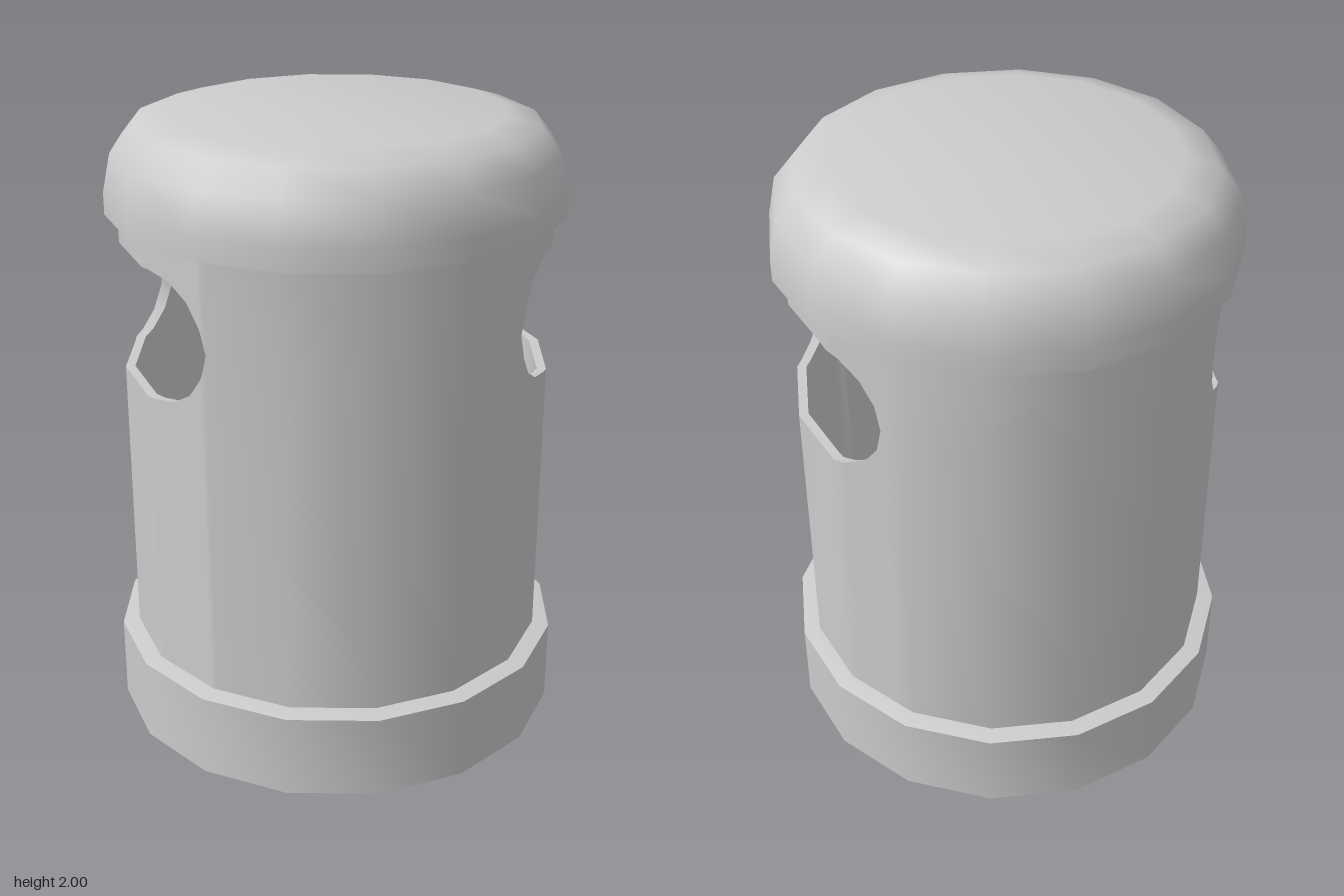
import * as THREE from 'three';
import { toCreasedNormals } from 'three/addons/utils/BufferGeometryUtils.js';

const SIDES = 16;
const OUTER = 0.68, INNER = 0.65;
const BOTTOM = 0.27, TOP = 1.71;
// Rounded slot cut straight through along x
const SLOT = { z: 0.033, y: 1.405, flat: 0.25, r: 0.205 };

// z positions of the folds on one half of the 16-sided tube
const folds = (R) => Array.from({ length: SIDES / 2 + 1 },
  (_, k) => R * Math.sin((k - SIDES / 4) * 2 * Math.PI / SIDES));

// x of the faceted tube at a given z
function tubeX(R, z) {
  const step = 2 * Math.PI / SIDES;
  const k = Math.min(Math.floor(Math.asin(THREE.MathUtils.clamp(z / R, -1, 1)) / step + 1e-6), SIDES / 4 - 1);
  const a = k * step, b = a + step;
  const t = (z / R - Math.sin(a)) / (Math.sin(b) - Math.sin(a));
  return R * THREE.MathUtils.lerp(Math.cos(a), Math.cos(b), t);
}

// Half height of the slot at a given z
function slotHalf(z) {
  const d = Math.max(0, Math.abs(z - SLOT.z) - SLOT.flat);
  return d > SLOT.r - 1e-6 ? 0 : Math.sqrt(SLOT.r ** 2 - d ** 2);
}

function slotStations() {
  const zs = [];
  for (let i = 0; i <= 4; i++) {
    const d = SLOT.flat + SLOT.r * Math.cos(i * Math.PI / 8);
    zs.push(SLOT.z - d, SLOT.z + d);
  }
  return zs;
}

const sorted = (list) => list.sort((a, b) => a - b).filter((z, i, l) => i === 0 || z - l[i - 1] > 1e-4);

function bodyGeometry() {
  const pos = [];
  const quad = (a, b, c, d, flip) => {
    const tris = flip ? [a, c, b, a, d, c] : [a, b, c, a, c, d];
    tris.forEach((p) => pos.push(...p));
  };
  const ends = slotStations();
  const zMin = Math.min(...ends), zMax = Math.max(...ends);

  for (const s of [1, -1]) {
    // Outer and inner walls, split below and above the slot
    for (const R of [OUTER, INNER]) {
      const zs = sorted([...folds(R), ...ends]);
      const flip = (s < 0) !== (R === INNER);
      for (let i = 0; i < zs.length - 1; i++) {
        const [z0, z1] = [zs[i], zs[i + 1]];
        const [x0, x1] = [s * tubeX(R, z0), s * tubeX(R, z1)];
        const [h0, h1] = [slotHalf(z0), slotHalf(z1)];
        quad([x1, BOTTOM, z1], [x0, BOTTOM, z0], [x0, SLOT.y - h0, z0], [x1, SLOT.y - h1, z1], flip);
        quad([x1, SLOT.y + h1, z1], [x0, SLOT.y + h0, z0], [x0, TOP, z0], [x1, TOP, z1], flip);
      }
    }
    // Edge of the slot through the wall thickness
    const zs = sorted([...ends, ...folds(OUTER), ...folds(INNER)].filter((z) => z >= zMin && z <= zMax));
    for (let i = 0; i < zs.length - 1; i++) {
      for (const v of [-1, 1]) {
        const p = (R, z) => [s * tubeX(R, z), SLOT.y + v * slotHalf(z), z];
        quad(p(OUTER, zs[i]), p(INNER, zs[i]), p(INNER, zs[i + 1]), p(OUTER, zs[i + 1]), (s < 0) !== (v > 0));
      }
    }
  }
  const g = new THREE.BufferGeometry();
  g.setAttribute('position', new THREE.Float32BufferAttribute(pos, 3));
  return toCreasedNormals(g, 0.75);
}

function turned(profile) {
  const g = new THREE.LatheGeometry(profile.map(([x, y]) => new THREE.Vector2(x, y)), SIDES);
  return toCreasedNormals(g, 0.75);
}

export function createModel() {
  const group = new THREE.Group();
  const material = new THREE.MeshStandardMaterial({ color: 0xcccccc });
  const add = (name, geometry) => {
    const mesh = new THREE.Mesh(geometry, material);
    mesh.name = name;
    group.add(mesh);
  };

  // Plinth with a slightly sloped shoulder, its top is the inside floor
  add('base', turned([[0, 0], [0.735, 0], [0.735, 0.27], [0.68, 0.28], [0, 0.28]]));

  // Hollow tube with a slot on the left and right
  add('body', bodyGeometry());

  // Hollow rounded lid
  add('lid', turned([
    [0, 1.96], [0.5, 1.96], [0.59, 1.93], [0.64, 1.86], [0.65, 1.7],
    [0.72, 1.7], [0.72, 1.77], [0.695, 1.89], [0.63, 1.97], [0.53, 2], [0, 2],
  ]));

  return group;
}
